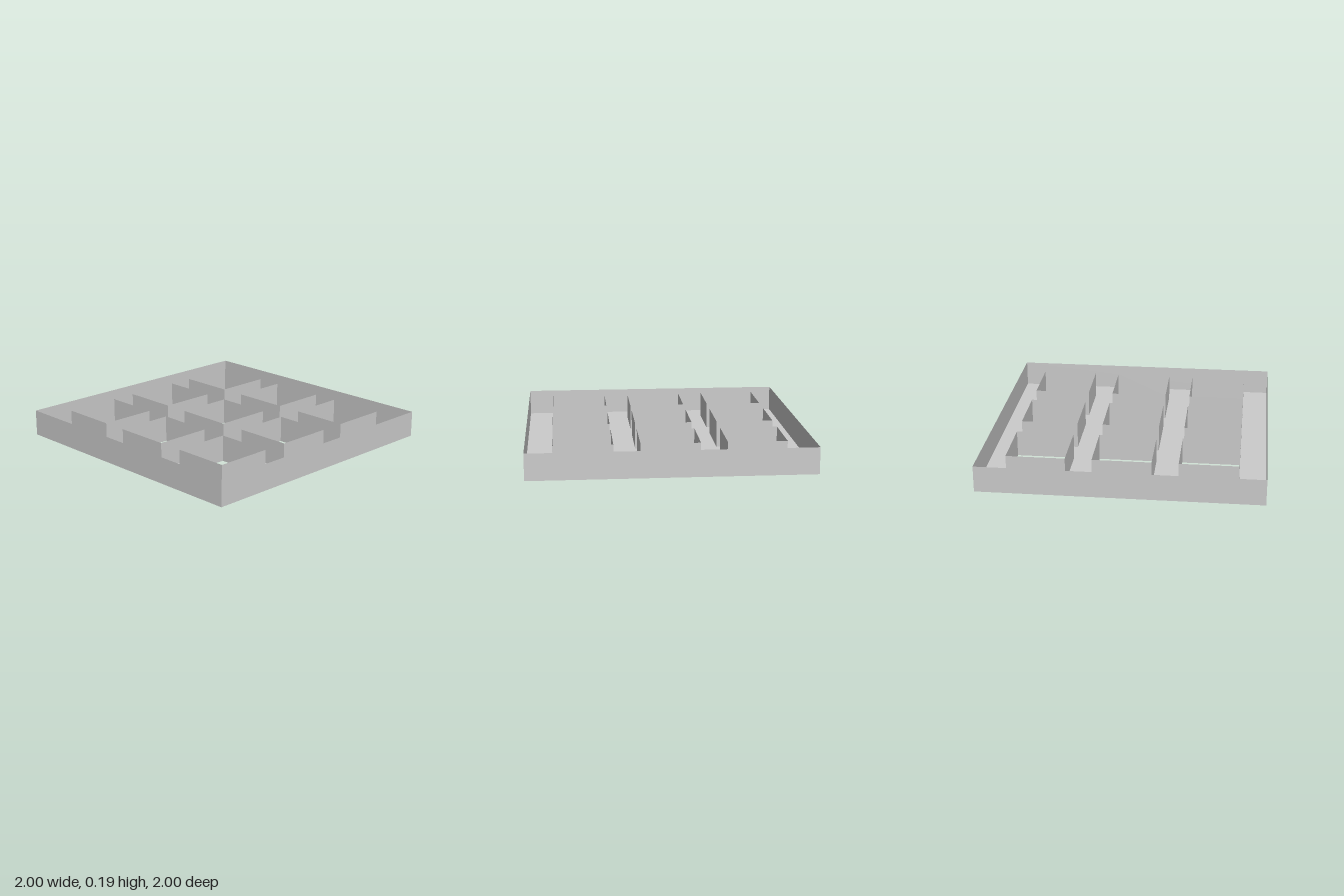
import * as THREE from 'three';

const HEIGHT = 0.19;
const HALF = 1; // half width of the tray
const HOLE = 0.208; // half width of each square opening
const PITCH = 0.603; // spacing of the openings

const material = new THREE.MeshStandardMaterial({
  color: 0xcccccc,
  flatShading: true,
  side: THREE.DoubleSide,
});

// Thin square wall, open at top and bottom
function squareWall(half) {
  const radius = half * Math.SQRT2;
  const geometry = new THREE.CylinderGeometry(radius, radius, HEIGHT, 4, 1, true)
    .rotateY(Math.PI / 4)
    .translate(0, HEIGHT / 2, 0)
    .toNonIndexed();
  geometry.computeVertexNormals();
  return geometry;
}

// Traces a square centred on (x, y)
function traceSquare(path, x, y, half) {
  path.moveTo(x - half, y - half);
  path.lineTo(x + half, y - half);
  path.lineTo(x + half, y + half);
  path.lineTo(x - half, y + half);
  path.closePath();
  return path;
}

export function createModel() {
  const group = new THREE.Group();
  group.name = 'gridTray';

  const add = (name, geometry, x = 0, z = 0) => {
    const mesh = new THREE.Mesh(geometry, material);
    mesh.name = name;
    mesh.position.set(x, 0, z);
    group.add(mesh);
  };

  // Outer rim
  add('outerWall', squareWall(HALF));

  // Nine open square sleeves, with matching holes in the floor
  const floor = traceSquare(new THREE.Shape(), 0, 0, HALF);
  const sleeve = squareWall(HOLE);
  for (const row of [-1, 0, 1]) {
    for (const column of [-1, 0, 1]) {
      const x = column * PITCH;
      const z = row * PITCH;
      floor.holes.push(traceSquare(new THREE.Path(), x, -z, HOLE));
      add('openingWall', sleeve, x, z);
    }
  }

  // Thin floor at the base
  add('floor', new THREE.ShapeGeometry(floor).rotateX(-Math.PI / 2));

  return group;
}
